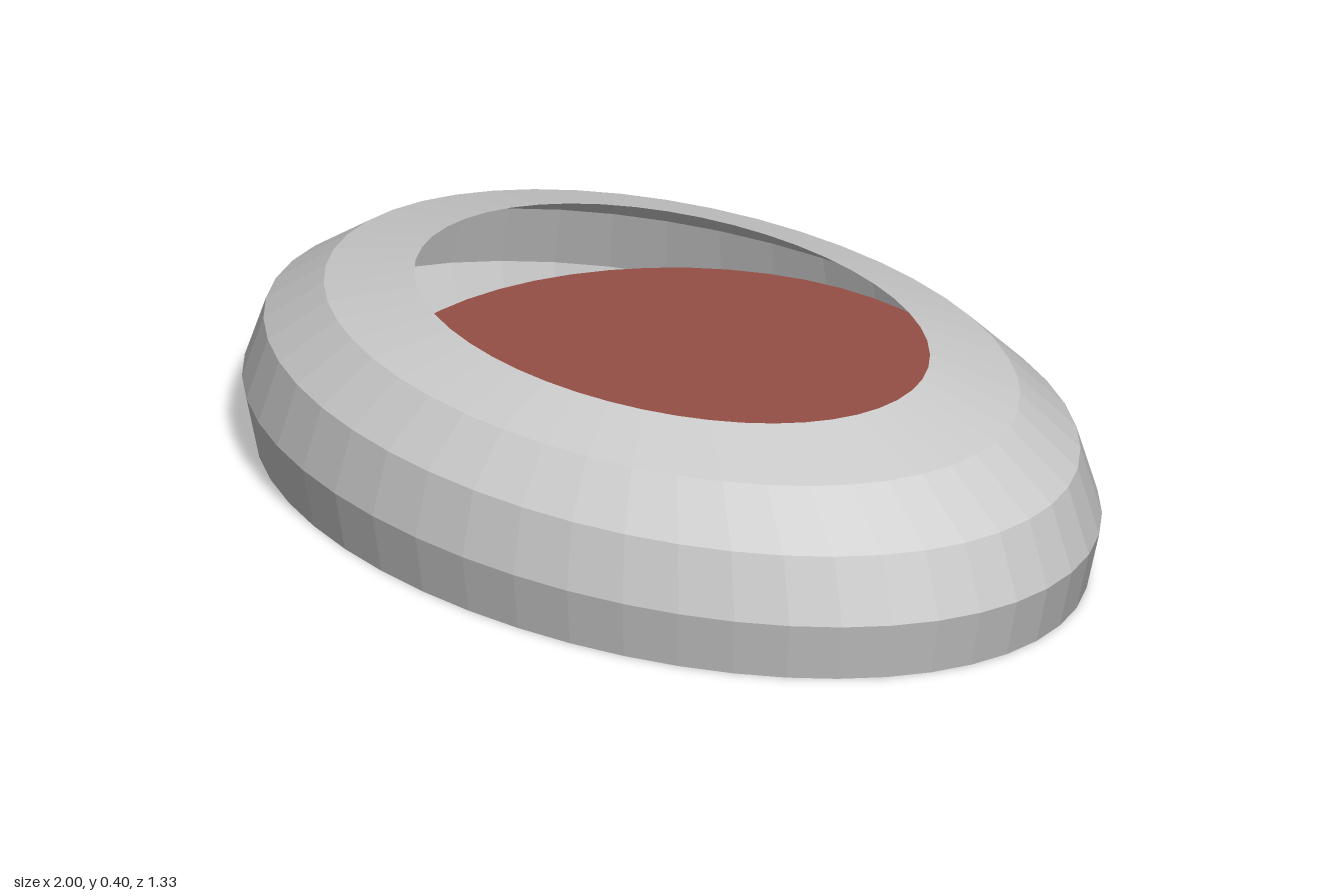
import * as THREE from 'three';

const SEGMENTS = 48;

function material(color, options = {}) {
  return new THREE.MeshStandardMaterial({ color, flatShading: true, ...options });
}

// Upright round disc between two heights
function disc(name, radius, bottom, top, color) {
  const geometry = new THREE.CylinderGeometry(radius, radius, top - bottom, SEGMENTS);
  geometry.translate(0, (top + bottom) / 2, 0);
  const mesh = new THREE.Mesh(geometry, material(color));
  mesh.name = name;
  return mesh;
}

export function createModel() {
  const model = new THREE.Group();
  model.name = 'ovalHousing';

  // Thin oval shell, open at the bottom and at the top opening
  const profile = [
    [0.97, 0], [1, 0.12], [0.95, 0.25], [0.81, 0.345], [0.6, 0.396],
  ].map(([r, y]) => new THREE.Vector2(r, y));
  const shellGeometry = new THREE.LatheGeometry(profile, SEGMENTS);
  shellGeometry.scale(1, 1, 0.663);
  const shell = new THREE.Mesh(shellGeometry, material(0xcccccc, { side: THREE.DoubleSide }));
  shell.name = 'shell';
  model.add(shell);

  // Round red disc floating inside the shell, with a green core within it
  model.add(disc('redDisc', 0.594, 0.05, 0.228, 0x964f45));
  model.add(disc('greenCore', 0.42, 0.052, 0.2, 0x4a6b48));

  return model;
}
